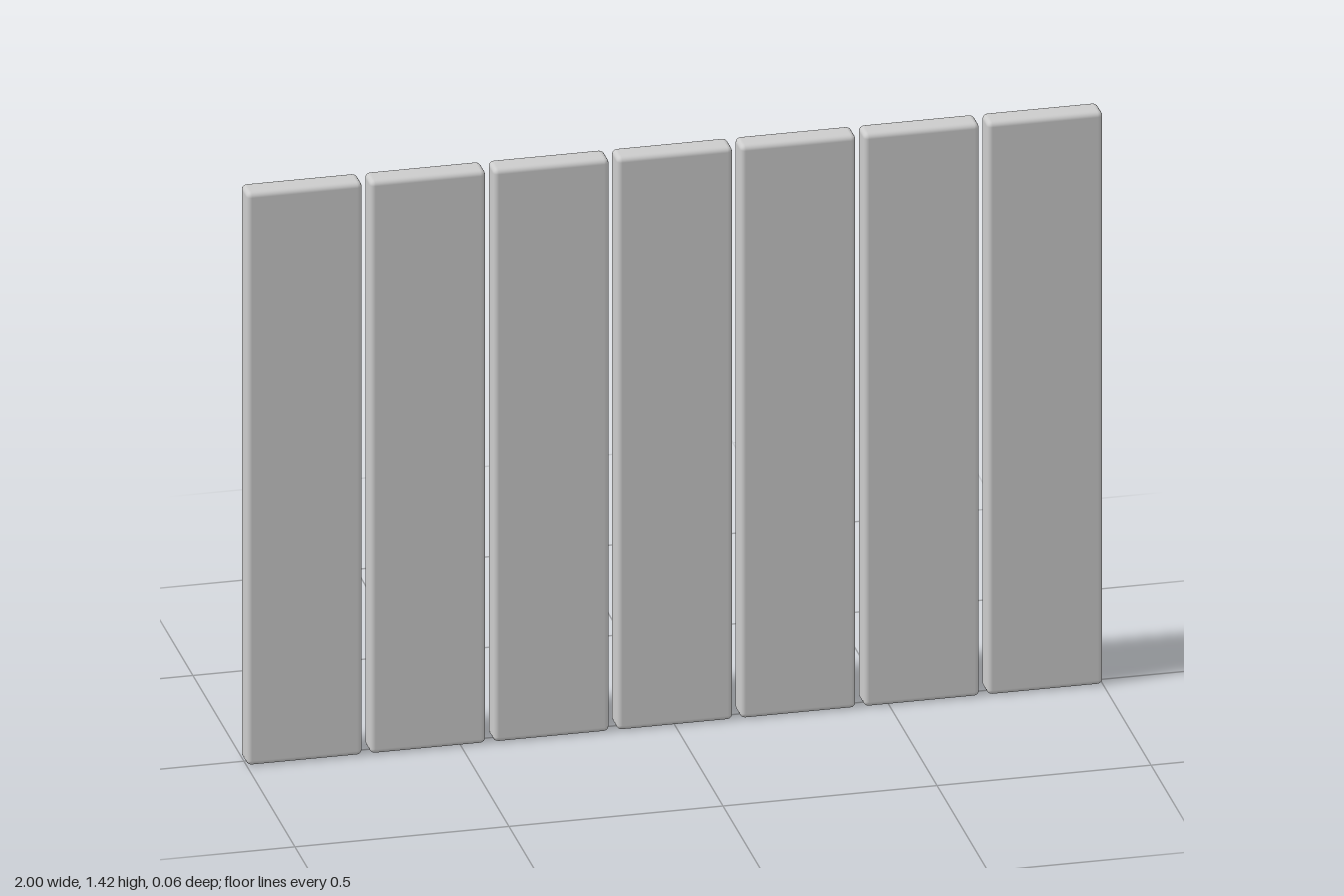
import * as THREE from 'three';
import { RoundedBoxGeometry } from 'three/addons/geometries/RoundedBoxGeometry.js';

const COUNT = 7;
const WIDTH = 0.27, HEIGHT = 1.42, DEPTH = 0.063, BEVEL = 0.012;
const PITCH = (2 - WIDTH) / (COUNT - 1);

export function createModel() {
  const group = new THREE.Group();
  group.name = 'plankPanel';
  const material = new THREE.MeshStandardMaterial({ color: 0xcccccc });

  // One softly bevelled upright board, repeated with narrow gaps
  const board = new RoundedBoxGeometry(WIDTH, HEIGHT, DEPTH, 2, BEVEL);
  for (let i = 0; i < COUNT; i++) {
    const plank = new THREE.Mesh(board, material);
    plank.name = `plank${i + 1}`;
    plank.position.set((i - (COUNT - 1) / 2) * PITCH, HEIGHT / 2, 0);
    group.add(plank);
  }
  return group;
}
